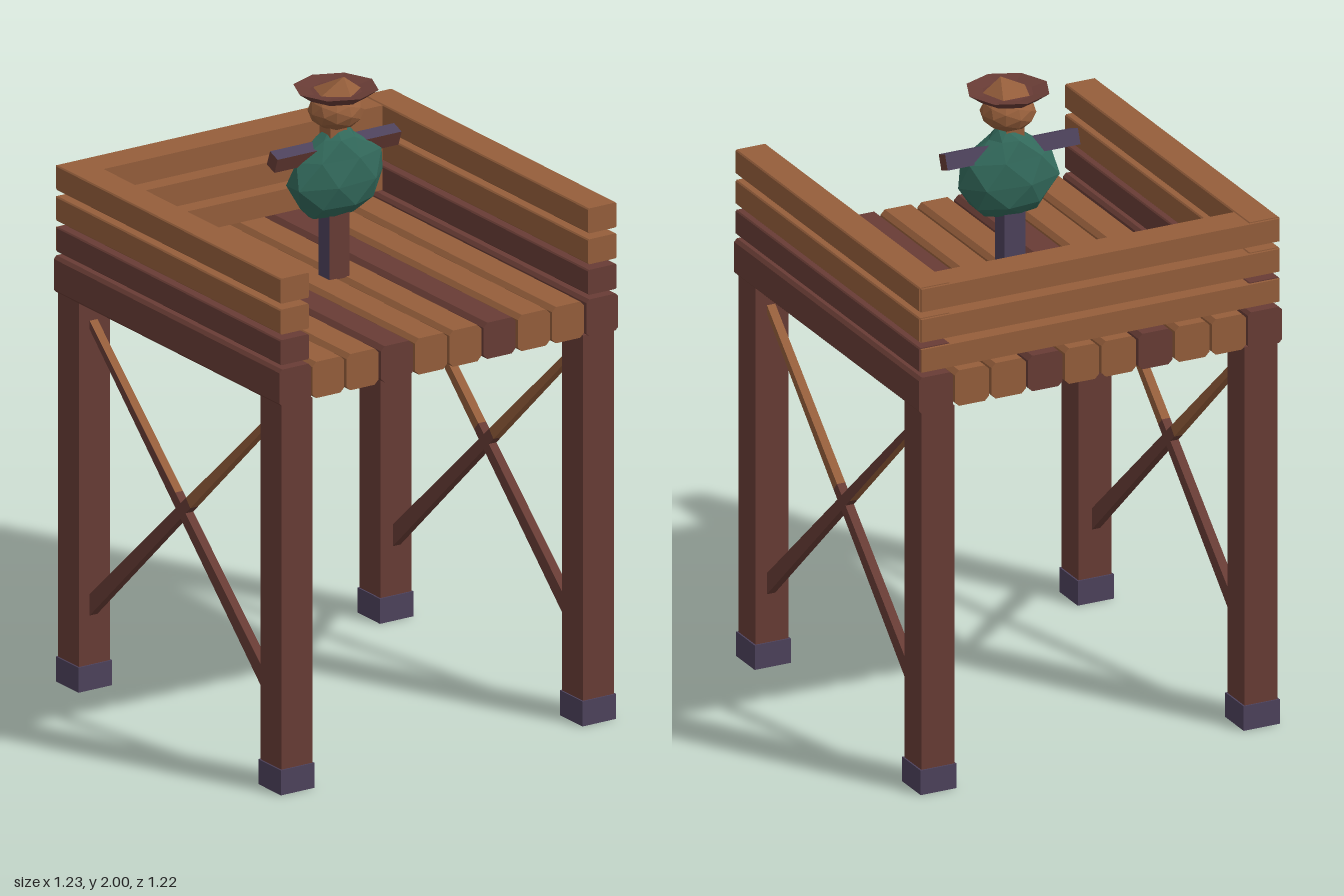
import * as THREE from 'three';

const mat = (name, color) => Object.assign(new THREE.MeshStandardMaterial({ color }), { name });

export function createModel() {
  const model = new THREE.Group();
  model.name = 'watchtower';
  const oak = mat('orange brown wood', 0x955e3b);
  const dark = mat('dark red wood', 0x683c35);
  const plum = mat('plum grey', 0x4d425c);
  const green = mat('green cloth', 0x32695b);

  const add = (name, geometry, material, x = 0, y = 0, z = 0, parent = model) => {
    const mesh = new THREE.Mesh(geometry, material);
    mesh.name = name;
    mesh.position.set(x, y, z);
    parent.add(mesh);
    return mesh;
  };
  const box = (name, w, h, d, material, x, y, z, parent) =>
    add(name, new THREE.BoxGeometry(w, h, d), material, x, y, z, parent);
  const faceted = (geometry) => {
    const g = geometry.index ? geometry.toNonIndexed() : geometry;
    g.computeVertexNormals();
    return g;
  };

  // Beam along z with chamfered long edges
  const beam = (w, h, length, c) => {
    const a = w / 2, b = h / 2;
    const shape = new THREE.Shape([
      [-a + c, -b], [a - c, -b], [a, -b + c], [a, b - c],
      [a - c, b], [-a + c, b], [-a, b - c], [-a, -b + c],
    ].map(([x, y]) => new THREE.Vector2(x, y)));
    const g = new THREE.ExtrudeGeometry(shape, { depth: length, bevelEnabled: false });
    return g.translate(0, 0, -length / 2);
  };

  // Legs and feet
  for (const x of [-0.547, 0.547]) {
    for (const z of [-0.547, 0.547]) {
      box('leg', 0.112, 1.18, 0.112, dark, x, 0.66, z);
      box('foot', 0.122, 0.08, 0.122, plum, x, 0.04, z);
    }
  }

  // Deck: outer beams and planks
  for (const s of [-1, 1]) add('deckBeam', beam(0.115, 0.118, 1.22, 0.01), dark, s * 0.557, 1.305, 0);
  for (let i = 0; i < 8; i++) {
    add('deckPlank', beam(0.116, 0.116, 1.215, 0.014), i === 2 || i === 5 ? dark : oak,
      -0.436 + i * 0.1243, 1.305, 0);
  }

  // Three rows of rails on the sides and back
  [1.418, 1.516, 1.615].forEach((y, row) => {
    for (const s of [-1, 1]) {
      add('sideRail', beam(0.104, 0.08, 1.211, 0.004), row === 0 ? dark : oak, s * 0.558, y, 0.003);
    }
    box('backRail', 1.212, 0.074, 0.108, oak, 0, y, -0.557);
  });

  // Crossed braces: each strut widens downwards and is split into two lengths
  const strut = (name, from, to, w0, w1, materials, x) => {
    const length = from.distanceTo(to);
    const g = new THREE.BoxGeometry(0.028, length, 1);
    const p = g.attributes.position;
    for (let i = 0; i < p.count; i++) p.setZ(i, p.getZ(i) * (p.getY(i) > 0 ? w0 : w1));
    g.computeVertexNormals();
    const mid = from.clone().add(to).multiplyScalar(0.5);
    const mesh = add(name, g, materials, x, mid.y, mid.x);
    mesh.rotation.x = Math.atan2(from.x - to.x, from.y - to.y);
  };
  for (const side of [-1, 1]) {
    for (const dir of [1, -1]) {
      const top = new THREE.Vector2(dir * 0.51, 1.185);
      const low = new THREE.Vector2(-dir * 0.51, 0.255);
      const mid = top.clone().lerp(low, 0.46);
      const upper = Array(6).fill(oak);
      if (dir < 0) upper[side > 0 ? 0 : 1] = dark;
      strut('braceUpper', top, mid, 0.02, 0.035, upper, side * 0.55);
      strut('braceLower', mid, low, 0.035, 0.052, dark, side * 0.55);
    }
  }

  // Scarecrow: post and arm bar
  const figure = new THREE.Group();
  figure.name = 'scarecrow';
  model.add(figure);
  box('post', 0.072, 0.4, 0.06, [plum, plum, plum, plum, dark, plum], -0.008, 1.56, 0, figure);
  const arms = box('armBar', 0.45, 0.05, 0.044, [dark, dark, plum, dark, dark, plum], -0.003, 1.768, -0.005, figure);
  arms.rotation.x = 0.35;

  // Stuffed body from stacked rings: y, centre x, half width, half depth
  const rings = [
    [1.563, -0.01, 0.09, 0.03], [1.60, 0.0, 0.13, 0.065], [1.67, -0.003, 0.172, 0.08],
    [1.75, 0.008, 0.152, 0.07], [1.81, 0.0, 0.065, 0.052], [1.84, 0.01, 0.03, 0.025],
  ];
  const sides = 7;
  const pos = [], idx = [];
  rings.forEach(([y, cx, rx, rz], r) => {
    for (let i = 0; i < sides; i++) {
      const t = ((i + (r % 2) * 0.5) / sides) * Math.PI * 2;
      pos.push(cx + rx * Math.cos(t), y, -rz * Math.sin(t));
    }
  });
  for (let r = 0; r < rings.length - 1; r++) {
    for (let i = 0; i < sides; i++) {
      const j = (i + 1) % sides, a = r * sides, b = a + sides;
      if (r % 2 === 0) idx.push(a + i, a + j, b + i, a + j, b + j, b + i);
      else idx.push(a + i, a + j, b + j, a + i, b + j, b + i);
    }
  }
  const last = (rings.length - 1) * sides;
  for (let i = 1; i < sides - 1; i++) idx.push(0, i + 1, i, last, last + i, last + i + 1);
  const cloth = new THREE.BufferGeometry();
  cloth.setAttribute('position', new THREE.Float32BufferAttribute(pos, 3));
  cloth.setIndex(idx);
  add('body', faceted(cloth), green, 0, 0, 0, figure);

  // Neck, head and hat
  box('neck', 0.06, 0.07, 0.06, oak, -0.01, 1.84, 0, figure);
  const head = add('head', faceted(new THREE.IcosahedronGeometry(0.086, 1)), oak, 0, 1.892, 0, figure);
  head.scale.set(1, 0.68, 1);
  const brim = [[0, 1.93], [0.09, 1.935], [0.131, 1.964], [0.08, 1.955], [0, 1.955]]
    .map(([r, y]) => new THREE.Vector2(r, y));
  add('hatBrim', faceted(new THREE.LatheGeometry(brim, 8)), dark, 0, 0, 0, figure);
  const crown = new THREE.ConeGeometry(0.084, 0.05, 5);
  const cp = crown.attributes.position;
  for (let i = 0; i < cp.count; i++) if (cp.getY(i) > 0) cp.setXYZ(i, 0.015, cp.getY(i), 0.02);
  crown.translate(0, 1.975, 0);
  add('hatCrown', faceted(crown), oak, 0, 0, 0, figure);

  return model;
}
